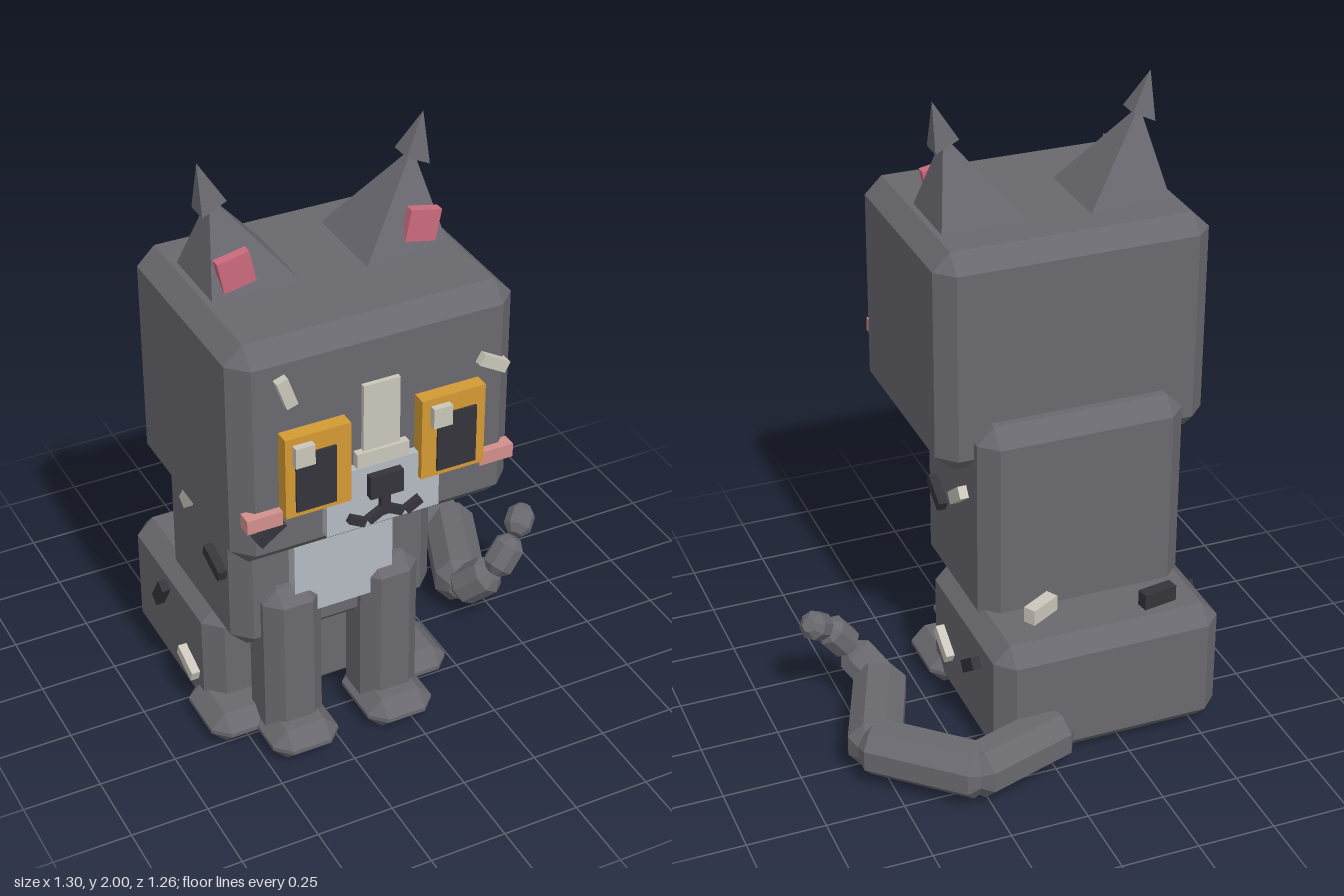
import * as THREE from 'three';
import { ConvexGeometry } from 'three/addons/geometries/ConvexGeometry.js';

const material = (name, color) => {
  const m = new THREE.MeshStandardMaterial({ color, flatShading: true });
  m.name = name;
  return m;
};

export function createModel() {
  const fur = material('grey fur', 0x69686e);
  const dark = material('charcoal', 0x34343a);
  const pale = material('pale grey', 0xb4bac1);
  const cream = material('cream', 0xcac6bb);
  const amber = material('amber', 0xd39a33);
  const pink = material('ear pink', 0xcb6b7e);
  const blush = material('blush', 0xd28f8c);

  const model = new THREE.Group();
  model.name = 'sittingCat';
  const cat = new THREE.Group();
  cat.name = 'body';
  cat.position.x = -0.206;
  model.add(cat);

  const add = (name, geometry, mat, parent = cat) => {
    const mesh = new THREE.Mesh(geometry, mat);
    mesh.name = name;
    parent.add(mesh);
    return mesh;
  };
  const hull = (name, points, mat) =>
    add(name, new ConvexGeometry(points.map((p) => new THREE.Vector3(...p))), mat);

  // Box with chamfered edges, given centre x, width and y / z ranges
  const block = (name, x, w, y0, y1, z0, z1, c) => {
    const half = [w / 2, (y1 - y0) / 2, (z1 - z0) / 2];
    const points = [];
    for (const sx of [-1, 1]) for (const sy of [-1, 1]) for (const sz of [-1, 1]) {
      for (let k = 0; k < 3; k++) {
        const [px, py, pz] = half.map((h, i) => (i === k ? h : h - c));
        points.push([x + sx * px, (y0 + y1) / 2 + sy * py, (z0 + z1) / 2 + sz * pz]);
      }
    }
    return hull(name, points, fur);
  };
  // Plain box with optional rotation
  const plate = (name, mat, size, pos, rot = [0, 0, 0]) => {
    const mesh = add(name, new THREE.BoxGeometry(...size), mat);
    mesh.position.set(...pos);
    mesh.rotation.set(...rot);
    return mesh;
  };

  // Main masses
  block('head', 0, 0.89, 0.9, 1.63, -0.15, 0.565, 0.056);
  block('torso', 0, 0.68, 0.37, 1.07, -0.23, 0.3, 0.055);
  block('hips', 0, 0.755, 0.01, 0.435, -0.46, 0.16, 0.055);
  plate('chestPatch', pale, [0.33, 0.45, 0.06], [0, 0.725, 0.31]);

  for (const s of [-1, 1]) {
    // Legs and paws
    block('frontLeg', s * 0.165, 0.195, 0.03, 0.605, 0.17, 0.365, 0.048);
    block('frontPaw', s * 0.165, 0.225, 0.005, 0.115, 0.17, 0.45, 0.048);
    block('hindPaw', s * 0.305, 0.22, 0.005, 0.115, 0.02, 0.29, 0.048);

    // Ears leaning outward, with a tuft at the tip
    hull('ear', [
      [s * 0.099, 1.63, 0], [s * 0.099, 1.63, 0.295],
      [s * 0.381, 1.575, 0], [s * 0.381, 1.575, 0.295],
      [s * 0.316, 1.89, 0.15],
    ], fur);
    hull('earTuft', [
      [s * 0.354, 1.848, 0.113], [s * 0.354, 1.848, 0.187],
      [s * 0.279, 1.884, 0.113], [s * 0.279, 1.884, 0.187],
      [s * 0.35, 2, 0.15],
    ], fur);
    plate('innerEar', pink, [0.1, 0.1, 0.03], [s * 0.292, 1.703, 0.255], [0, 0, -s * 0.2]);

    // Eyes
    plate('iris', amber, [0.203, 0.265, 0.06], [s * 0.213, 1.223, 0.58]);
    plate('pupil', dark, [0.125, 0.19, 0.03], [s * 0.222, 1.203, 0.602]);
    plate('eyeGlint', cream, [0.06, 0.065, 0.03], [s * 0.215 - 0.047, 1.3, 0.617]);

    // Cheeks and mouth curves
    plate('cheek', blush, [0.11, 0.045, 0.045], [s * 0.37, 1.083, 0.568]);
    plate('mouthInner', dark, [0.055, 0.025, 0.03], [s * 0.031, 1.01, 0.598], [0, 0, -s * 0.5]);
    plate('mouthOuter', dark, [0.055, 0.025, 0.03], [s * 0.09, 1.008, 0.598], [0, 0, s * 0.5]);
  }

  // Muzzle, nose and blaze
  plate('muzzle', pale, [0.36, 0.205, 0.05], [0, 1.073, 0.567]);
  plate('nose', dark, [0.105, 0.075, 0.05], [0, 1.113, 0.592]);
  plate('noseLine', dark, [0.03, 0.08, 0.03], [0, 1.045, 0.595]);
  plate('blaze', cream, [0.115, 0.24, 0.03], [0, 1.32, 0.565]);
  plate('blazeBase', cream, [0.165, 0.05, 0.04], [0, 1.198, 0.57]);

  // Fur flecks on the face: material, length, x, y, angle
  for (const [m, len, x, y, a] of [
    [cream, 0.095, -0.294, 1.49, 1.9], [cream, 0.095, 0.355, 1.4, -0.52],
    [dark, 0.095, -0.352, 1.04, 0.62],
  ]) plate('faceFleck', m, [len, 0.036, 0.05], [x, y, 0.565], [0, 0, a]);

  // Fur flecks on the flanks: material, x, y, z, rotation
  for (const [m, x, y, z, a] of [
    [dark, 0.34, 0.685, 0.14, -0.52], [cream, 0.34, 0.78, -0.05, 0.65],
    [dark, 0.377, 0.285, -0.25, 0.65], [cream, 0.377, 0.21, -0.01, -0.55],
    [cream, -0.34, 0.8, 0.0, -1.0], [dark, -0.34, 0.663, 0.18, 0.32],
    [dark, -0.377, 0.305, -0.185, -1.0], [cream, -0.377, 0.168, 0.02, 0.35],
  ]) plate('flankFleck', m, [0.058, 0.04, 0.113], [x, y, z], [a, 0, 0]);

  // Fur flecks on top of the hips
  plate('backFleck', dark, [0.115, 0.055, 0.04], [-0.194, 0.46, -0.35], [0, 0.17, 0]);
  plate('backFleck', cream, [0.115, 0.055, 0.042], [0.173, 0.46, -0.285], [0, 0.52, 0]);

  // Tail: eight-sided segments curling round to a raised tip
  const tail = new THREE.Group();
  tail.name = 'tail';
  model.add(tail);
  const segment = (from, to, r, cap) => {
    const a = new THREE.Vector3(...from), b = new THREE.Vector3(...to);
    const h = a.distanceTo(b) / 2 + cap;
    const profile = [[0, -h], [r * 0.5, -h], [r, -h + cap], [r, h - cap], [r * 0.5, h], [0, h]];
    const g = new THREE.LatheGeometry(profile.map((p) => new THREE.Vector2(...p)), 8, Math.PI / 8);
    const mesh = add('tailSegment', g, fur, tail);
    const dir = b.clone().sub(a).normalize();
    const side = new THREE.Vector3(0, 1, 0).cross(dir).normalize();
    mesh.quaternion.setFromRotationMatrix(
      new THREE.Matrix4().makeBasis(side, dir, side.clone().cross(dir)));
    mesh.position.copy(a).add(b).multiplyScalar(0.5);
  };
  const path = [[-0.01, 0.115, -0.455], [0.28, 0.115, -0.55], [0.53, 0.115, -0.32], [0.41, 0.115, -0.02]];
  for (let i = 0; i < 3; i++) segment(path[i], path[i + 1], 0.09, 0.045);
  segment([0.405, 0.115, 0.015], [0.46, 0.185, 0.075], 0.066, 0.03);
  segment([0.485, 0.225, 0.092], [0.535, 0.29, 0.085], 0.054, 0.028);
  segment([0.575, 0.33, 0.06], [0.61, 0.36, 0.03], 0.047, 0.026);

  return model;
}
